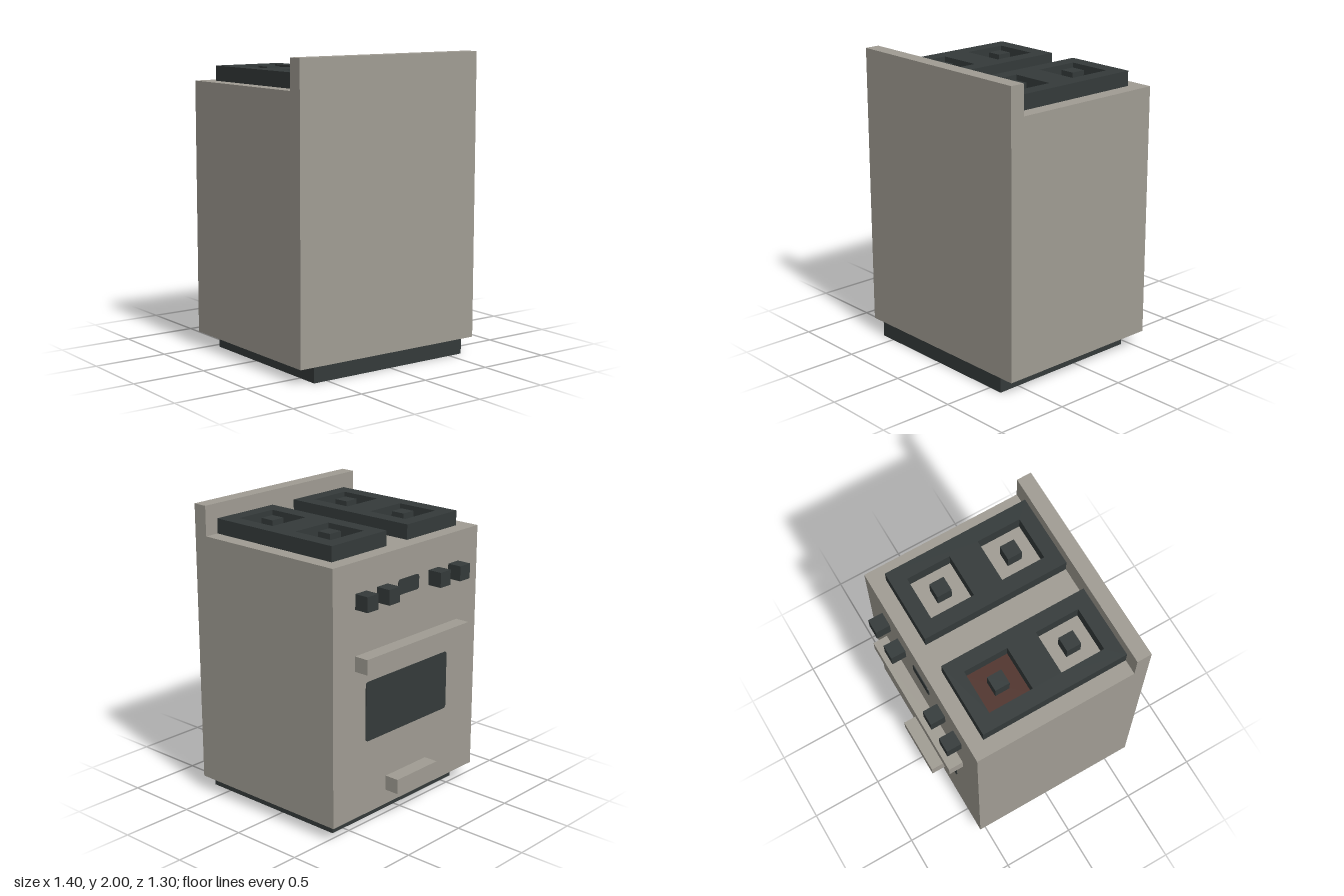
import * as THREE from 'three';

const mat = (name, color) => {
  const m = new THREE.MeshStandardMaterial({ color });
  m.name = name;
  return m;
};

export function createModel() {
  const enamel = mat('warm grey enamel', 0xa09c93);
  const iron = mat('dark iron', 0x343a3a);
  const hot = mat('glowing red', 0x50332c);
  const group = new THREE.Group();
  group.name = 'stove';

  const add = (name, geometry, material) => {
    const mesh = new THREE.Mesh(geometry, material);
    mesh.name = name;
    group.add(mesh);
    return mesh;
  };

  // Box given by its min and max corners
  const box = (name, material, [x0, y0, z0], [x1, y1, z1]) =>
    add(name, new THREE.BoxGeometry(x1 - x0, y1 - y0, z1 - z0), material)
      .position.set((x0 + x1) / 2, (y0 + y1) / 2, (z0 + z1) / 2);

  const rect = (S, x0, y0, x1, y1) =>
    new S([[x0, y0], [x1, y0], [x1, y1], [x0, y1]].map(p => new THREE.Vector2(...p)));

  // Thin plate with rounded corners on the control side, which faces -z
  const panel = (name, w, h, y, r) => {
    const s = new THREE.Shape();
    const a = w / 2 - r, b = h / 2 - r;
    s.absarc(a, b, r, 0, Math.PI / 2);
    s.absarc(-a, b, r, Math.PI / 2, Math.PI);
    s.absarc(-a, -b, r, Math.PI, Math.PI * 1.5);
    s.absarc(a, -b, r, Math.PI * 1.5, Math.PI * 2);
    const g = new THREE.ExtrudeGeometry(s, { depth: 0.005, bevelEnabled: false, curveSegments: 4 });
    add(name, g, iron).position.set(0, y, -0.555);
  };

  // Cabinet with raised splashback, as one side profile (z, y) swept across x
  const profile = new THREE.Shape([
    [-0.55, 0.1], [0.65, 0.1], [0.65, 2], [0.55, 2], [0.55, 1.8], [-0.55, 1.8],
  ].map(p => new THREE.Vector2(...p)));
  const cabinet = new THREE.ExtrudeGeometry(profile, { depth: 1.4, bevelEnabled: false });
  cabinet.translate(0, 0, -0.7).rotateY(-Math.PI / 2);
  add('cabinet', cabinet, enamel);

  box('plinth', iron, [-0.6, 0, -0.45], [0.6, 0.1, 0.65]);

  // Two hob grates, each with two square wells and a burner in each
  for (const cx of [-0.35, 0.35]) {
    const grate = rect(THREE.Shape, cx - 0.25, -0.55, cx + 0.25, 0.45);
    for (const cz of [-0.2, 0.3]) {
      grate.holes.push(rect(THREE.Path, cx - 0.15, -cz - 0.15, cx + 0.15, -cz + 0.15));
      box('burner', iron, [cx - 0.05, 1.8, cz - 0.05], [cx + 0.05, 1.9, cz + 0.05]);
    }
    const g = new THREE.ExtrudeGeometry(grate, { depth: 0.1, bevelEnabled: false });
    add('grate', g.rotateX(-Math.PI / 2), iron).position.y = 1.8;
  }
  box('hotPlate', hot, [-0.5, 1.8, -0.35], [-0.2, 1.805, -0.05]);

  // Control knobs
  for (const x of [-0.45, -0.25, 0.25, 0.45]) {
    box('knob', iron, [x - 0.05, 1.5, -0.65], [x + 0.05, 1.6, -0.55]);
  }

  box('ovenHandle', enamel, [-0.5, 1.1, -0.65], [0.5, 1.2, -0.55]);
  box('drawerHandle', enamel, [-0.2, 0.2, -0.65], [0.2, 0.3, -0.55]);
  panel('display', 0.2, 0.1, 1.55, 0.02);
  panel('ovenWindow', 0.8, 0.4, 0.8, 0.02);

  return group;
}
